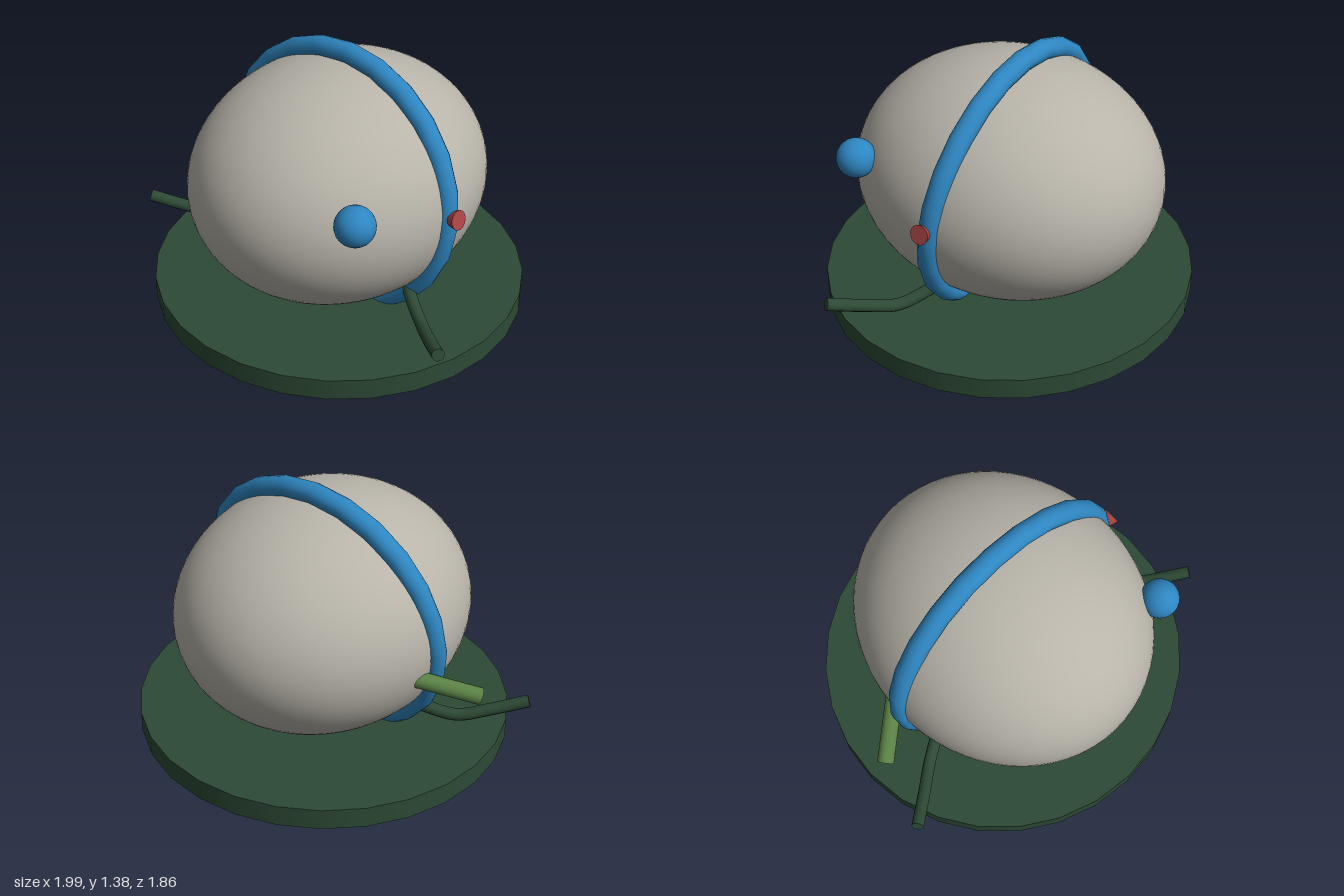
import * as THREE from 'three';

const material = (name, color) => {
  const m = new THREE.MeshStandardMaterial({ color });
  m.name = name;
  return m;
};
const V = (x, y, z) => new THREE.Vector3(x, y, z);

export function createModel() {
  const model = new THREE.Group();
  model.name = 'model';
  const stone = material('warm grey', 0xb8b4aa);
  const blue = material('blue', 0x2e86c1);
  const darkGreen = material('dark green', 0x2d4a35);
  const leafGreen = material('leaf green', 0x5a8044);
  const red = material('red', 0xa94444);

  const add = (name, geometry, mat, x = 0, y = 0, z = 0) => {
    const mesh = new THREE.Mesh(geometry, mat);
    mesh.name = name;
    mesh.position.set(x, y, z);
    model.add(mesh);
    return mesh;
  };

  // Straight capped rod between two points, with a radius at each end
  const rod = (name, a, b, ra, rb, mat) => {
    const d = b.clone().sub(a);
    const mesh = add(name, new THREE.CylinderGeometry(rb, ra, d.length(), 16), mat);
    mesh.position.copy(a).add(b).multiplyScalar(0.5);
    mesh.quaternion.setFromUnitVectors(V(0, 1, 0), d.normalize());
  };

  // Egg-shaped body
  add('body', new THREE.SphereGeometry(1, 64, 40), stone, 0, 0.71, 0).scale.set(0.695, 0.595, 0.785);

  // Round base plate
  add('base', new THREE.CylinderGeometry(0.945, 0.945, 0.11, 28), darkGreen, 0, 0.108, 0).scale.z = 0.982;

  // Tilted band around the body
  const band = add('band', new THREE.TorusGeometry(0.682, 0.054, 14, 24), blue, 0, 0.702, 0);
  band.rotation.x = -0.111;
  band.scale.y = 0.946;

  // Ball on the front left
  add('ball', new THREE.SphereGeometry(0.097, 24, 16), blue, 0.56, 0.9, 0.505);

  // Flared knob on the side of the band
  rod('knob', V(0.67, 0.745, 0), V(0.752, 0.766, 0), 0.022, 0.049, red);

  // Stub on the right side
  rod('stub', V(-0.6, 0.61, -0.14), V(-0.89, 0.495, 0.09), 0.042, 0.042, leafGreen);

  // Mirrored curved arms with closed tips
  for (const s of [1, -1]) {
    const path = new THREE.CatmullRomCurve3([
      V(s * 0.48, 0.33, 0.04), V(s * 0.58, 0.275, 0.11), V(s * 0.7, 0.243, 0.185),
      V(s * 0.82, 0.275, 0.28), V(s * 0.975, 0.333, 0.4),
    ]);
    add(s > 0 ? 'leftArm' : 'rightArm', new THREE.TubeGeometry(path, 24, 0.031, 12), darkGreen);
    const tip = add('armTip', new THREE.CircleGeometry(0.031, 12), darkGreen);
    tip.position.copy(path.getPoint(1));
    tip.quaternion.setFromUnitVectors(V(0, 0, 1), path.getTangent(1));
  }
  return model;
}
